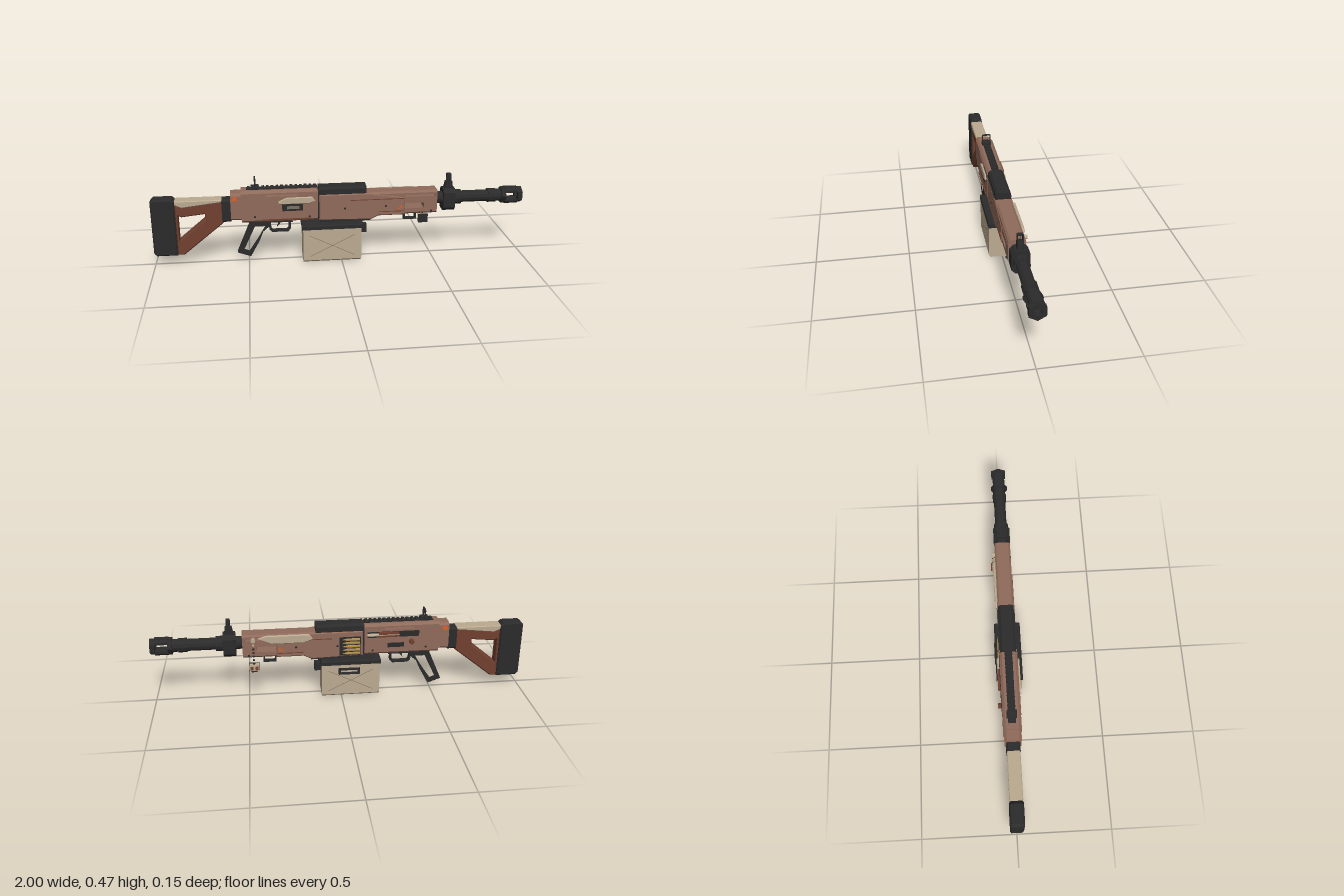
import * as THREE from 'three';

const mat = (name, color) => {
  const m = new THREE.MeshStandardMaterial({ color });
  m.name = name;
  return m;
};

export function createModel() {
  const brown = mat('dusty brown', 0x8f6b5b), rust = mat('red brown', 0x70402f);
  const tan = mat('tan', 0xbbaa90), black = mat('charcoal', 0x2b2b2c);
  const grey = mat('dark line', 0x7c705f), brass = mat('brass', 0xa8894c), orange = mat('orange', 0xd9602c);
  const root = new THREE.Group();

  const add = (name, geo, m, parent = root) => {
    const g = geo.index ? geo.toNonIndexed() : geo;
    g.computeVertexNormals();
    const mesh = new THREE.Mesh(g, m);
    mesh.name = name;
    parent.add(mesh);
    return mesh;
  };
  const toShape = pts => new THREE.Shape(pts.map(p => new THREE.Vector2(...p)));

  // box given by its limits
  const box = (name, m, x0, x1, y0, y1, z0, z1) =>
    add(name, new THREE.BoxGeometry(x1 - x0, y1 - y0, z1 - z0)
      .translate((x0 + x1) / 2, (y0 + y1) / 2, (z0 + z1) / 2), m);

  // bar along x with chamfered top and bottom edges
  const bar = (name, m, x0, x1, y0, y1, w, top = 0, low = 0, zc = 0) => {
    const half = [[w - low, y0], [w, y0 + low], [w, y1 - top], [w - top, y1]];
    const all = [...half, ...half.map(([z, y]) => [-z, y]).reverse()]
      .filter((p, i, a) => !i || p[0] !== a[i - 1][0] || p[1] !== a[i - 1][1]);
    const geo = new THREE.ExtrudeGeometry(toShape(all), { depth: x1 - x0, bevelEnabled: false });
    return add(name, geo.rotateY(Math.PI / 2).translate(x0, 0, zc), m);
  };

  // side profile extruded across z, with optional bevel and holes
  const slab = (name, m, pts, z0, z1, bevel = 0, holes = []) => {
    const s = toShape(pts);
    holes.forEach(h => s.holes.push(new THREE.Path(h.map(p => new THREE.Vector2(...p)))));
    const geo = new THREE.ExtrudeGeometry(s, {
      depth: z1 - z0 - 2 * bevel, bevelEnabled: bevel > 0, bevelSize: bevel,
      bevelThickness: bevel, bevelOffset: -bevel, bevelSegments: 1
    });
    return add(name, geo.translate(0, 0, z0 + bevel), m);
  };

  // cylinder along x
  const rod = (name, m, x0, x1, y, z, r, sides = 12) =>
    add(name, new THREE.CylinderGeometry(r, r, x1 - x0, sides)
      .rotateZ(Math.PI / 2).translate((x0 + x1) / 2, y, z), m);

  // Shoulder stock
  slab('buttPad', black, [[-1, .075], [-.985, .06], [-.875, .06], [-.875, .365], [-.89, .378], [-.985, .378], [-1, .365]], -.036, .036, .008);
  slab('stock', rust, [[-.875, .062], [-.84, .062], [-.625, .235], [-.625, .355], [-.875, .34]], -.03, .03, .006,
    [[[-.862, .14], [-.72, .258], [-.72, .288], [-.845, .275], [-.862, .285]]]);
  slab('cheekRest', tan, [[-.875, .345], [-.84, .328], [-.63, .352], [-.63, .366], [-.875, .366]], -.034, .034, .004);
  bar('stockCollar', black, -.632, -.585, .24, .365, .036, .01, .01);

  // Receiver, with a narrow slit near the top
  bar('receiverRear', brown, -.585, -.53, .25, .398, .043, .012, .01);
  bar('receiverBody', brown, -.53, -.125, .235, .378, .047, 0, .012);
  bar('receiverSlitRear', brown, -.53, -.4, .378, .387, .047);
  bar('receiverSlitFront', brown, -.235, -.125, .378, .387, .047);
  bar('receiverTop', brown, -.53, -.125, .387, .41, .047, .013);
  bar('receiverSeam', black, -.125, -.118, .24, .395, .042, .01, .01);
  bar('lowerFrame', black, -.49, -.26, .222, .238, .022);

  // Top rail with teeth
  box('railBase', black, -.5, -.125, .408, .414, -.019, .019);
  for (let i = 0; i < 15; i++) {
    const x = -.495 + i * .025;
    bar('railTooth', black, x, x + .014, .413, .422, .02, .004);
  }

  // Rear sight frame
  for (const s of [-1, 1]) box('rearSightPost', black, -.458, -.45, .415, .468, s * .022 - .003, s * .022 + .003);
  box('rearSightBar', black, -.458, -.45, .466, .473, -.021, .021);
  box('rearSightFoot', black, -.475, -.435, .412, .426, -.026, .026);

  // Feed cover
  bar('feedCover', black, -.12, .135, .372, .415, .041, .012);
  for (const s of [-1, 1]) box('coverLip', black, -.1, .12, .377, .384, s * .043 - .003, s * .043 + .003);

  // Handguard, with a window and a slit through it
  slab('handguardRear', brown, [[-.118, .232], [.16, .225], [.2, .245], [.345, .245], [.345, .345], [.15, .376], [-.118, .376]], -.046, .046, .006);
  bar('handguardLower', brown, .345, .522, .247, .28, .043, 0, .01);
  bar('handguardMiddle', brown, .45, .522, .28, .31, .043);
  bar('handguardUpper', brown, .345, .522, .31, .346, .043);
  bar('handguardEnd', brown, .51, .522, .346, .355, .043);
  bar('handguardTop', brown, .13, .522, .355, .377, .043, .01);
  bar('handguardRoot', brown, .13, .35, .32, .356, .043);
  slab('sidePanel', tan, [[.15, .345], [.2, .327], [.37, .327], [.44, .36], [.4, .374], [.17, .374]], -.056, -.042, .004);
  box('feedTray', black, -.11, .16, .216, .234, -.03, .03);

  // Panel grooves, screws and painted marks on both sides
  for (const s of [-1, 1]) {
    const plate = (name, m, x0, x1, y0, y1, z) => box(name, m, x0, x1, y0, y1, s * z - .002, s * z + .002);
    plate('panelGroove', rust, .05, .34, .337, .341, .0455);
    plate('panelGroove', rust, .2, .34, .266, .27, .0455);
    plate('rearMark', orange, -.577, -.55, .36, .382, .0425);
    const mark = plate('frontMark', orange, -.015, .015, -.005, .005, .0455);
    mark.position.set(.32, .288, 0);
    mark.rotation.z = .7;
    for (const [x, y] of [[-.46, .268], [-.17, .26], [.02, .295], [.24, .3], [.49, .262]])
      add('screw', new THREE.CylinderGeometry(.006, .006, .004, 8).rotateX(Math.PI / 2).translate(x, y, s * .0465), black);
  }

  // Left side: port and bolt cover
  box('ejectionPort', black, -.315, -.205, .295, .335, .045, .05);
  box('portBolt', grey, -.29, -.225, .306, .322, .048, .052);
  slab('boltCover', tan, [[-.335, .335], [-.17, .335], [-.14, .348], [-.155, .37], [-.29, .37], [-.335, .35]], .044, .056, .003);
  box('sideStep', rust, -.42, -.16, .245, .252, .045, .053);

  // Right side: charging slide, handle, port and belt
  box('chargingSlot', black, -.42, -.14, .335, .367, -.05, -.045);
  rod('chargingRod', tan, -.31, -.14, .352, -.053, .009, 8);
  box('chargingSlide', rust, -.31, -.2, .34, .366, -.061, -.045);
  add('chargingKnob', new THREE.CylinderGeometry(.015, .013, .022, 8).rotateX(Math.PI / 2).translate(-.38, .305, -.056), rust);
  box('rightPort', black, -.34, -.25, .275, .3, -.05, -.045);
  box('beltOpening', black, -.105, .01, .238, .345, -.0485, -.044);
  for (let i = 0; i < 5; i++) {
    rod('round', brass, -.1, -.03, .25 + i * .02, -.047, .0085, 8);
    add('roundTip', new THREE.ConeGeometry(.0075, .03, 8).rotateZ(-Math.PI / 2).translate(-.015, .25 + i * .02, -.047), brass);
  }

  // Ammunition box
  bar('ammoBox', tan, -.208, .106, .003, .192, .067, 0, .01, .005);
  bar('ammoLid', black, -.213, .11, .19, .214, .071, .005, 0, .004);
  box('boxLatch', black, .104, .142, .14, .188, -.014, .014);
  box('latchHook', black, .105, .12, .185, .235, -.006, .006);
  for (const z of [.0725, -.0625]) for (const s of [-1, 1]) {
    const rib = add('boxCrossLine', new THREE.BoxGeometry(.27, .002, .002), grey);
    rib.position.set(-.051, .095, z);
    rib.rotation.z = s * .46;
  }
  slab('boxHandle', black, [[-.1, .135], [.015, .135], [.015, .17], [-.1, .17]], -.071, -.061, 0,
    [[[-.088, .145], [.003, .145], [.003, .16], [-.088, .16]]]);

  // Grip, trigger and guard
  slab('grip', black, [[-.485, .23], [-.37, .23], [-.385, .2], [-.42, .17], [-.44, .12], [-.49, .03], [-.56, .055]], -.02, .02, .003,
    [[[-.465, .205], [-.405, .205], [-.443, .14], [-.495, .062], [-.527, .075]]]);
  slab('triggerGuard', black, [[-.392, .235], [-.385, .178], [-.37, .164], [-.285, .164], [-.27, .18], [-.27, .235]], -.012, .012, 0,
    [[[-.38, .225], [-.374, .183], [-.367, .175], [-.29, .175], [-.281, .185], [-.281, .225]]]);
  slab('trigger', black, [[-.345, .23], [-.325, .23], [-.328, .208], [-.345, .19], [-.338, .208]], -.006, .006);

  // Sling loop
  slab('slingLoop', black, [[.345, .25], [.345, .205], [.415, .205], [.415, .25]], -.012, .012, 0,
    [[[.353, .24], [.353, .213], [.407, .213], [.407, .24]]]);

  // Hanging charm on the right side
  box('charm', tan, .44, .49, .167, .212, -.06, -.035);
  box('charmBack', black, .438, .492, .165, .214, -.036, -.03);
  for (const x of [.452, .478]) box('charmEye', rust, x - .008, x + .008, .185, .203, -.067, -.059);
  box('charmMouth', black, .45, .48, .172, .178, -.062, -.059);
  for (let i = 0; i < 7; i++)
    add('charmBead', new THREE.IcosahedronGeometry(.007, 0).translate(.465, .218 + i * .021, -.052), i > 4 ? tan : black);
  add('charmHook', new THREE.CylinderGeometry(.012, .012, .018, 8).rotateX(Math.PI / 2).translate(.465, .352, -.051), tan);

  // Barrel
  const axis = .322;
  for (const [x0, x1, r] of [[.51, .56, .034], [.62, .66, .04], [.655, .82, .032], [.81, .855, .038], [.85, .9, .034]])
    rod('barrel', black, x0, x1, axis, 0, r);

  // Muzzle with side slots and a hollow front ring
  rod('muzzleRear', black, .885, .908, axis, 0, .046, 6);
  for (const s of [-1, 1]) {
    const y = axis + s * .031;
    bar('muzzleBridge', black, .905, .977, y - .012, y + .012, .033, s > 0 ? .012 : 0, s < 0 ? .012 : 0);
  }
  const ring = toShape(Array.from({ length: 6 }, (_, i) =>
    [.046 * Math.sin(i * Math.PI / 3), .046 * Math.cos(i * Math.PI / 3)]).reverse());
  ring.holes.push(new THREE.Path().absarc(0, 0, .02, 0, Math.PI * 2, true));
  add('muzzleRing', new THREE.ExtrudeGeometry(ring, { depth: .025, bevelEnabled: false, curveSegments: 8 })
    .rotateY(Math.PI / 2).translate(.975, axis, 0), black);

  // Front sight
  bar('sightBlock', black, .557, .622, .255, .377, .045, .02, .02);
  slab('sightTower', black, [[.565, .37], [.615, .37], [.608, .415], [.573, .415]], -.016, .016, .003);
  for (const s of [-1, 1]) box('sightEar', black, .58, .602, .412, .455, s * .0135 - .002, s * .0135 + .002);
  box('sightHood', black, .58, .602, .451, .455, -.014, .014);
  add('sightPin', new THREE.ConeGeometry(.005, .032, 6).translate(.591, .428, 0), black);

  return root;
}
